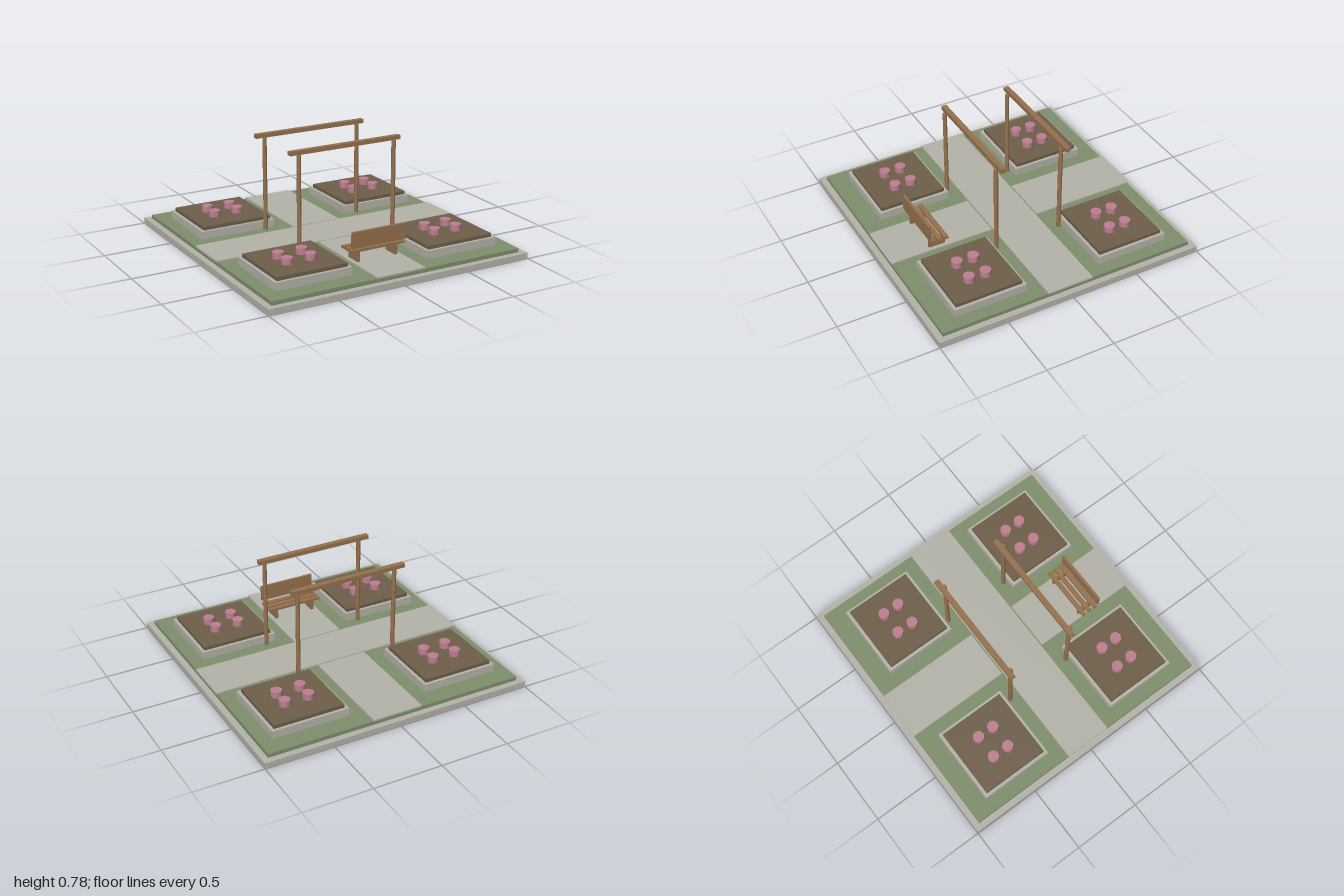
import * as THREE from 'three';

const material = (name, color) => {
  const m = new THREE.MeshStandardMaterial({ color });
  m.name = name;
  return m;
};

export function createModel() {
  const garden = new THREE.Group();
  garden.name = 'garden';

  const stone = material('pale stone', 0xb4b4aa);
  const grass = material('grass', 0x7f8f6e);
  const soil = material('soil', 0x6f5f4b);
  const wood = material('wood', 0x96724f);
  const pink = material('pink blossom', 0xbd7f91);
  pink.flatShading = true;
  wood.flatShading = true;

  const add = (parent, name, geometry, mat, x, y, z) => {
    const mesh = new THREE.Mesh(geometry, mat);
    mesh.name = name;
    mesh.position.set(x, y, z);
    parent.add(mesh);
    return mesh;
  };
  // Box given by its centre in x and z and its bottom and top heights
  const box = (parent, name, mat, x, z, w, d, y0, y1) =>
    add(parent, name, new THREE.BoxGeometry(w, y1 - y0, d), mat, x, (y0 + y1) / 2, z);
  const group = (name) => {
    const g = new THREE.Group();
    g.name = name;
    garden.add(g);
    return g;
  };

  // Ground layers
  box(garden, 'baseSlab', stone, 0, 0, 2, 2, 0, 0.042);
  box(garden, 'lawn', grass, 0, 0, 1.91, 1.91, 0.042, 0.07);

  // Crossing paths
  box(garden, 'crossPath', stone, 0, 0, 1.92, 0.345, 0.068, 0.08);
  for (const s of [-1, 1]) box(garden, 'gardenPath', stone, 0, s * 0.57, 0.37, 0.775, 0.068, 0.08);

  // Four raised beds, each with four blossoms
  const blossom = new THREE.CylinderGeometry(0.04, 0.04, 0.045, 12);
  for (const sx of [-1, 1]) for (const sz of [-1, 1]) {
    const bed = group('flowerBed');
    const x = sx * 0.575, z = sz * 0.55;
    box(bed, 'bedCurb', stone, x, z, 0.565, 0.54, 0.07, 0.127);
    box(bed, 'bedSoil', soil, x, z, 0.52, 0.495, 0.127, 0.152);
    for (const dx of [-0.0875, 0.0875]) for (const dz of [-0.062, 0.062])
      add(bed, 'blossom', blossom, pink, x + dx, 0.1735, z + dz);
  }

  // Two pergola frames, each with its beam set behind its posts
  const post = new THREE.CylinderGeometry(0.016, 0.016, 0.675, 8);
  for (const s of [-1, 1]) {
    const frame = group('pergolaFrame');
    for (const sx of [-1, 1]) add(frame, 'post', post, wood, sx * 0.375, 0.4125, s * 0.25);
    box(frame, 'beam', wood, 0, s * 0.25 - 0.024, 0.87, 0.038, 0.748, 0.777);
  }

  // Bench
  const bench = group('bench');
  for (const z of [0.548, 0.597, 0.647]) box(bench, 'seatSlat', wood, 0, z, 0.417, 0.034, 0.153, 0.171);
  box(bench, 'backrest', wood, 0, 0.67, 0.417, 0.018, 0.187, 0.302);
  for (const s of [-1, 1]) box(bench, 'benchLeg', wood, s * 0.147, 0.597, 0.02, 0.12, 0.078, 0.153);

  return garden;
}
